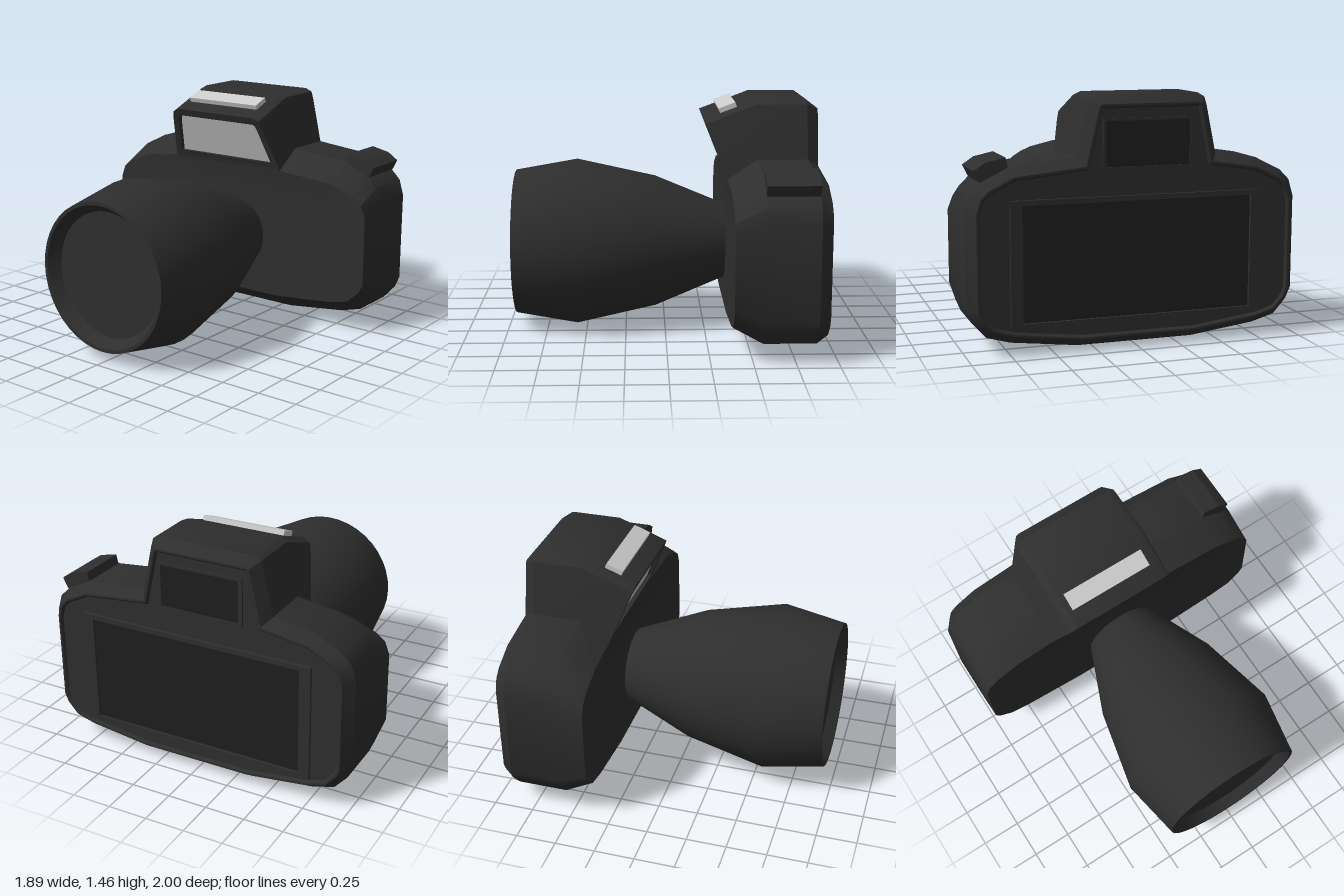
import * as THREE from 'three';
import { toCreasedNormals, mergeGeometries } from 'three/addons/utils/BufferGeometryUtils.js';

const paint = (color) => new THREE.MeshStandardMaterial({ color });
const black = paint(0x2e2e2e), dark = paint(0x1e1e1e), silver = paint(0xcccccc);

// Body outline, counter-clockwise as seen from the screen side: [-z, y]
const side = [[0.35, 0.03], [0.75, 0.08], [0.89, 0.12], [0.97, 0.21], [1, 0.28],
  [1, 0.84], [0.97, 0.94], [0.91, 1.0], [0.75, 1.08]];
const hump = [[0.49, 1.12], [0.433, 1.39], [0.417, 1.445], [0.374, 1.47],
  [-0.235, 1.47], [-0.28, 1.45], [-0.295, 1.4], [-0.36, 1.12]];
const mirrored = side.map(([u, y]) => [-u, y]).reverse();
const outline = [...side, ...hump, ...mirrored];

// Move every corner of a closed outline inward by d (mitred)
function inset(pts, d) {
  const n = pts.length;
  return pts.map((p, i) => {
    const a = pts[(i + n - 1) % n], b = pts[(i + 1) % n];
    const l1 = Math.hypot(p[0] - a[0], p[1] - a[1]), l2 = Math.hypot(b[0] - p[0], b[1] - p[1]);
    const n1 = [-(p[1] - a[1]) / l1, (p[0] - a[0]) / l1];
    const n2 = [-(b[1] - p[1]) / l2, (b[0] - p[0]) / l2];
    const k = d / (1 + n1[0] * n2[0] + n1[1] * n2[1]);
    return [p[0] + (n1[0] + n2[0]) * k, p[1] + (n1[1] + n2[1]) * k];
  });
}

// Outline points to a 3D ring; x is a number or a rule of y
const ring = (pts, x) => pts.map(([u, y]) =>
  new THREE.Vector3(typeof x === 'function' ? x(y) : x, y, -u));

const fromPoints = (pts) => new THREE.BufferGeometry().setFromPoints(pts);

// Skin between successive rings
function loft(rings) {
  const out = [];
  for (let i = 0; i + 1 < rings.length; i++) {
    const r = rings[i], s = rings[i + 1];
    r.forEach((p, j) => {
      const k = (j + 1) % r.length;
      out.push(p, r[k], s[k], p, s[k], s[j]);
    });
  }
  return fromPoints(out);
}

// Fill a ring, facing +x, or -x when flipped
function cap(r, flip = false) {
  const flat = r.map((p) => new THREE.Vector2(-p.z, p.y));
  const out = [];
  for (const [a, b, c] of THREE.ShapeUtils.triangulateShape(flat, [])) {
    out.push(r[a], r[flip ? c : b], r[flip ? b : c]);
  }
  return fromPoints(out);
}

function rectPath(Type, z0, z1, y0, y1) {
  return new Type([[-z1, y0], [-z0, y0], [-z0, y1], [-z1, y1]].map((p) => new THREE.Vector2(...p)));
}

export function createModel() {
  const model = new THREE.Group();
  const add = (name, geometry, material, parent = model) => {
    const mesh = new THREE.Mesh(geometry, material);
    mesh.name = name;
    parent.add(mesh);
    return mesh;
  };

  // Body: the front is lower, and its hump leans forward over the lens
  const lean = (y) => 0.38 - 0.4 * Math.max(0, y - 1);
  const isHump = (i) => i >= side.length && i < side.length + hump.length;
  const front = outline.map(([u, y], i) => [u, isHump(i) ? y - 0.12 : 0.57 + (y - 0.57) * 0.782]);
  const frontHump = front.filter((p, i) => isHump(i));
  const frontLower = front.filter((p, i) =>
    !isHump(i) || i === side.length || i === side.length + hump.length - 1);
  const backPanel = ring(inset(outline, 0.075), 0.925);
  const windowEdge = inset(frontHump, 0.045);
  const pane = ring(windowEdge, (y) => lean(y) + 0.03);
  const body = mergeGeometries([
    loft([ring(front, lean), ring(outline, 0.56), ring(outline, 0.87),
      ring(inset(outline, 0.05), 0.94), ring(inset(outline, 0.062), 0.94), backPanel]),
    cap(backPanel),
    cap(ring(frontLower, 0.38), true),
    loft([pane, ring(windowEdge, lean), ring(frontHump, lean)]),
  ]);
  add('body', toCreasedNormals(body, 0.55), black);
  add('frontWindow', toCreasedNormals(cap(pane, true), 0.5), silver);

  // Lens barrel with a recessed front glass
  const lens = new THREE.Group();
  lens.name = 'lens';
  lens.position.y = 0.537;
  model.add(lens);
  const profile = [[0.235, -0.39], [0.42, 0.06], [0.53, 0.56], [0.462, 0.95], [0.44, 0.95], [0.39, 0.88]];
  const barrel = new THREE.LatheGeometry(profile.map((p) => new THREE.Vector2(...p)), 40);
  add('lensBarrel', toCreasedNormals(barrel.rotateZ(Math.PI / 2), 0.5), black, lens);
  const glass = add('lensGlass', new THREE.CircleGeometry(0.392, 40), black, lens);
  glass.rotation.y = -Math.PI / 2;
  glass.position.x = -0.88;

  // Framed panels on the back: [name, outer rectangle, inner rectangle, back x, front x]
  const panels = [
    ['screen', [-0.76, 0.76, 0.17, 0.9], [-0.69, 0.69, 0.2, 0.87], 0.92, 0.945],
    ['viewfinder', [-0.33, 0.22, 1.05, 1.34], [-0.305, 0.2, 1.065, 1.325], 0.92, 0.936],
  ];
  for (const [name, outer, inner, x0, x1] of panels) {
    const shape = rectPath(THREE.Shape, ...outer);
    shape.holes.push(rectPath(THREE.Path, ...inner));
    const frame = new THREE.ExtrudeGeometry(shape, { depth: x1 - x0, bevelEnabled: false });
    add(name + 'Frame', frame.rotateY(Math.PI / 2).translate(x0, 0, 0), black);
    const [z0, z1, y0, y1] = inner;
    const sheet = new THREE.BoxGeometry(0.01, y1 - y0, z1 - z0);
    add(name, sheet.translate(0.924, (y0 + y1) / 2, (z0 + z1) / 2), dark);
  }

  // Shutter button on the sloping shoulder
  const button = new THREE.Shape([[-0.915, 1.0], [-0.75, 1.07], [-0.765, 1.135], [-0.88, 1.11], [-0.947, 1.065]]
    .map((p) => new THREE.Vector2(...p)));
  const buttonGeometry = new THREE.ExtrudeGeometry(button, { depth: 0.31, bevelEnabled: false });
  add('shutterButton', buttonGeometry.rotateY(Math.PI / 2).translate(0.56, 0, 0), black);

  // Accessory plate on the slope above the window
  const plate = add('topPlate', new THREE.BoxGeometry(0.11, 0.04, 0.54), silver);
  plate.position.set(0.39, 1.417, -0.07);
  plate.rotation.z = Math.atan2(0.12, 0.32);

  return model;
}
